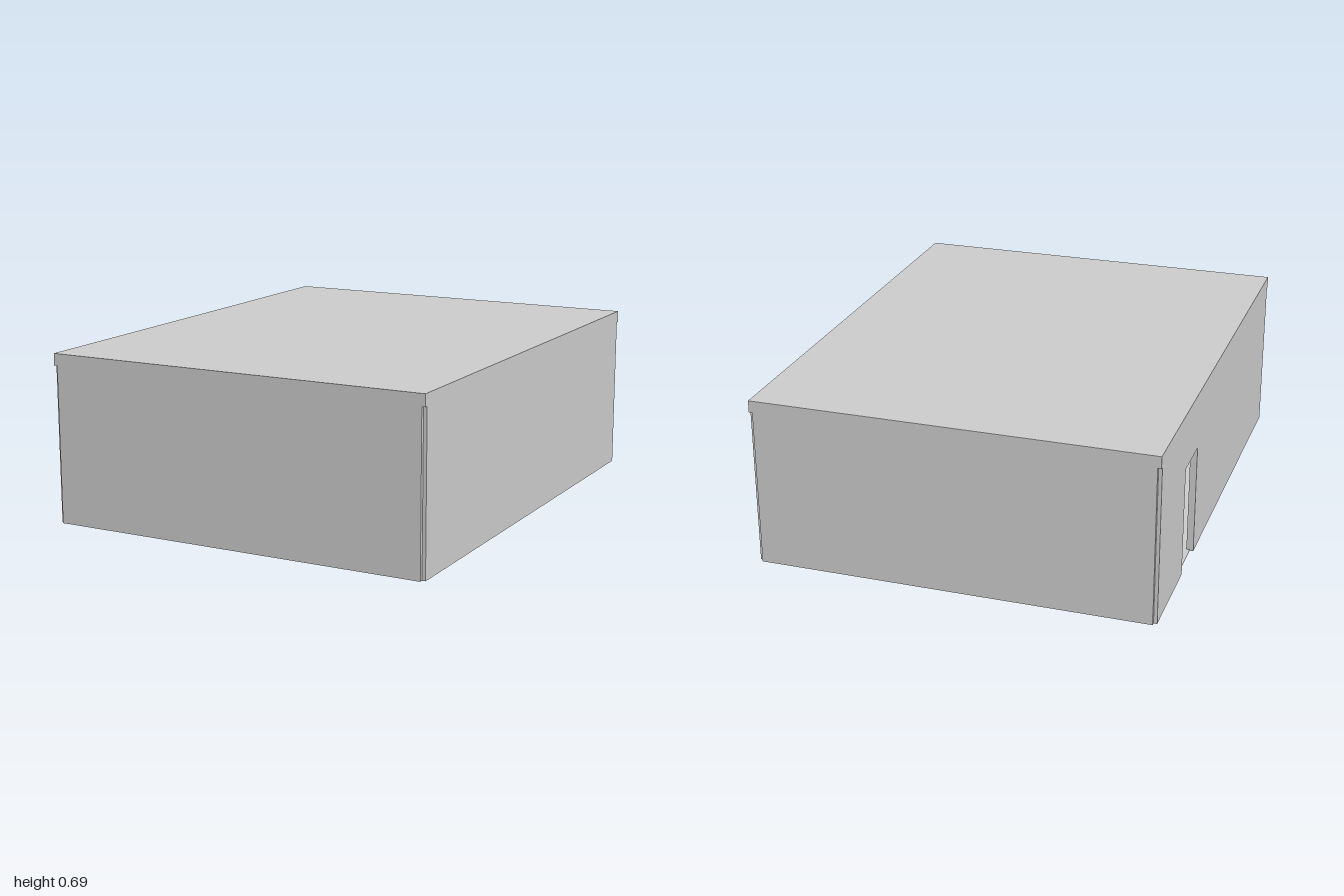
import * as THREE from 'three';

const W = 1.614, D = 2, H = 0.69;      // overall width, depth and height
const T = 0.028;                       // wall thickness
const WALL_H = 0.642;                  // underside of the roof slab

export function createModel() {
  const model = new THREE.Group();
  model.name = 'building';
  const grey = new THREE.MeshStandardMaterial({ color: 0xcccccc });
  grey.name = 'light grey';

  const add = (name, geometry, x, y, z) => {
    const mesh = new THREE.Mesh(geometry, grey);
    mesh.name = name;
    mesh.position.set(x, y, z);
    model.add(mesh);
    return mesh;
  };

  // Walls run between centrelines, leaving a small square notch at each corner
  const cx = (W - T) / 2, cz = (D - T) / 2;
  for (const [name, s] of [['frontWall', 1], ['backWall', -1]])
    add(name, new THREE.BoxGeometry(2 * cx, WALL_H, T), 0, WALL_H / 2, s * cz);
  add('leftWall', new THREE.BoxGeometry(T, WALL_H, 2 * cz), cx, WALL_H / 2, 0);

  // Wall with the doorway, drawn in (z, y) and extruded through its thickness
  const doorBack = -0.595, doorFront = -0.395, doorTop = 0.455;
  const outline = new THREE.Shape([
    [-cz, 0], [doorBack, 0], [doorBack, doorTop], [doorFront, doorTop],
    [doorFront, 0], [cz, 0], [cz, WALL_H], [-cz, WALL_H],
  ].map(([z, y]) => new THREE.Vector2(z, y)));
  const doorWall = new THREE.ExtrudeGeometry(outline, { depth: T, bevelEnabled: false });
  doorWall.rotateY(-Math.PI / 2);
  add('doorwayWall', doorWall, -W / 2 + T, 0, 0);

  // Thin floor and flat roof slab
  add('floor', new THREE.BoxGeometry(2 * cx, 0.004, 2 * cz), 0, 0.002, 0);
  add('roof', new THREE.BoxGeometry(W, H - WALL_H, D), 0, (H + WALL_H) / 2, 0);

  return model;
}
